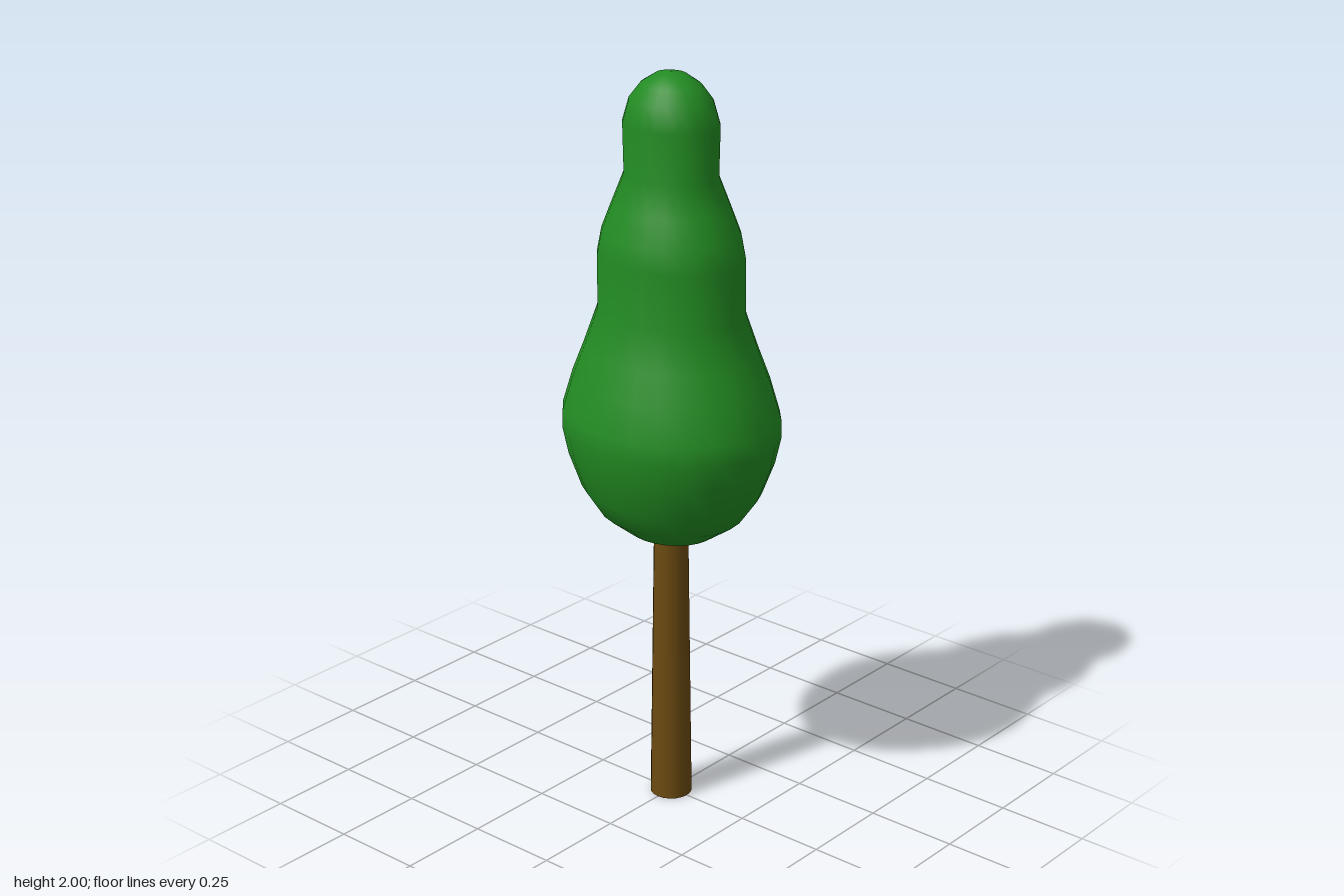
import * as THREE from 'three';

export function createModel() {
  const tree = new THREE.Group();
  tree.name = 'tree';
  const leafGreen = new THREE.MeshStandardMaterial({ color: 0x228b22 });
  leafGreen.name = 'leaf green';
  const barkBrown = new THREE.MeshStandardMaterial({ color: 0x6b4a10 });
  barkBrown.name = 'bark brown';

  // Slightly tapered trunk, ending inside the crown
  const trunk = new THREE.Mesh(new THREE.CylinderGeometry(0.045, 0.056, 0.8, 20), barkBrown);
  trunk.name = 'trunk';
  trunk.position.y = 0.4;
  tree.add(trunk);

  // Three merged tiers of foliage: radius and height pairs from bottom to tip
  const profile = [
    [0, 0.75], [0.05, 0.755], [0.12, 0.775], [0.2, 0.83], [0.25, 0.9], [0.285, 0.99],
    [0.301, 1.06], [0.3, 1.11], [0.272, 1.2], [0.24, 1.28], [0.201, 1.385],
    [0.2, 1.53], [0.188, 1.59], [0.16, 1.66], [0.127, 1.74],
    [0.13, 1.87], [0.112, 1.93], [0.08, 1.97], [0.04, 1.995], [0, 2],
  ].map(([r, y]) => new THREE.Vector2(r, y));
  const foliage = new THREE.Mesh(new THREE.LatheGeometry(profile, 24), leafGreen);
  foliage.name = 'foliage';
  foliage.scale.z = 0.86; // oval plan
  tree.add(foliage);

  return tree;
}
